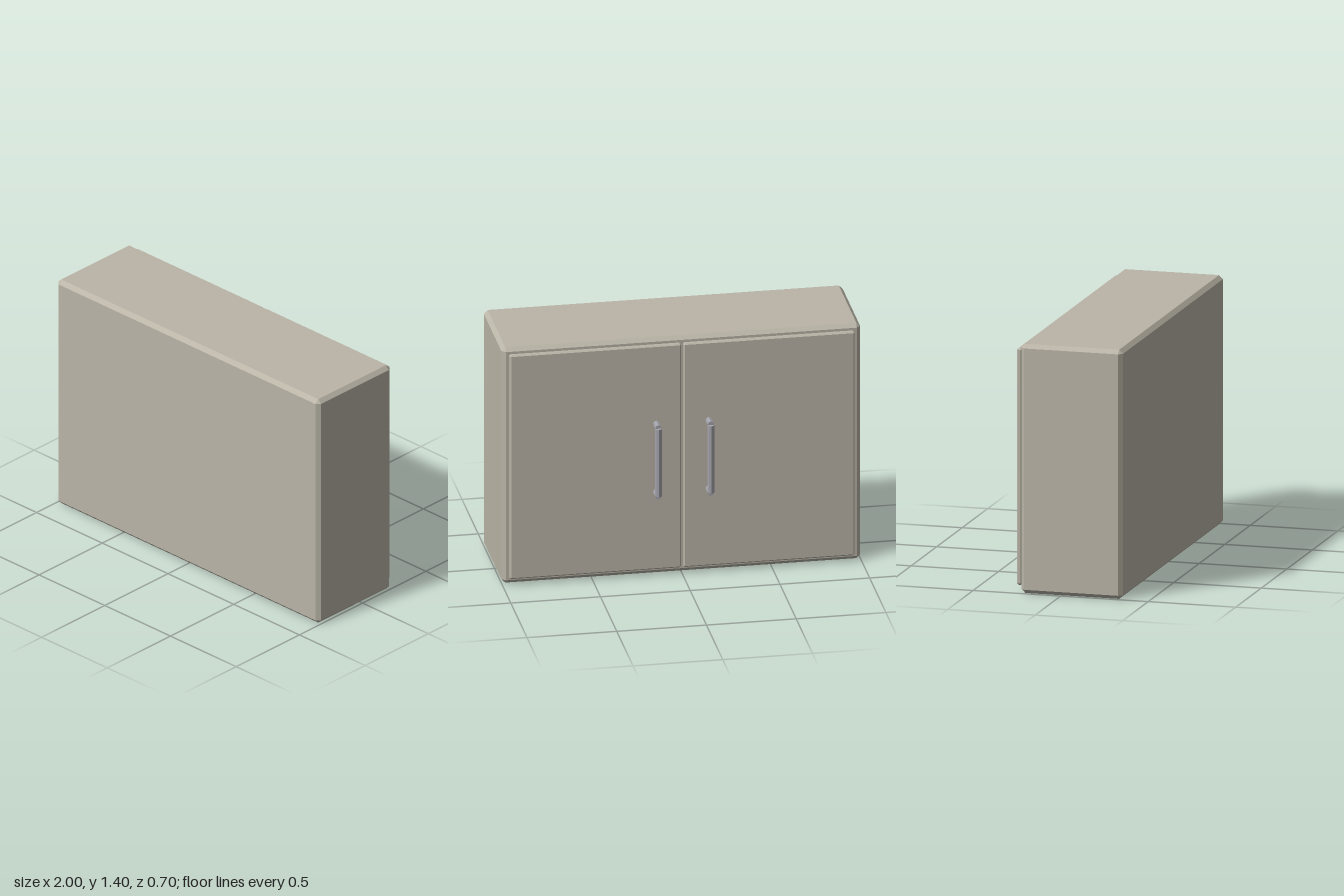
import * as THREE from 'three';
import { ConvexGeometry } from 'three/addons/geometries/ConvexGeometry.js';

// Box with every edge and corner cut by a flat chamfer c
function chamferBox(w, h, d, c) {
  const points = [];
  for (const sx of [-1, 1]) for (const sy of [-1, 1]) for (const sz of [-1, 1]) {
    const x = w / 2, y = h / 2, z = d / 2;
    points.push(
      new THREE.Vector3(sx * x, sy * (y - c), sz * (z - c)),
      new THREE.Vector3(sx * (x - c), sy * y, sz * (z - c)),
      new THREE.Vector3(sx * (x - c), sy * (y - c), sz * z));
  }
  return new ConvexGeometry(points);
}

export function createModel() {
  const paint = new THREE.MeshStandardMaterial({ color: 0xbab5a7 });
  paint.name = 'beige paint';
  const metal = new THREE.MeshStandardMaterial({ color: 0xa2a2aa, flatShading: true });
  metal.name = 'grey metal';

  const cabinet = new THREE.Group();
  cabinet.name = 'cabinet';
  const add = (parent, name, geometry, material, x, y, z) => {
    const mesh = new THREE.Mesh(geometry, material);
    mesh.name = name;
    mesh.position.set(x, y, z);
    parent.add(mesh);
    return mesh;
  };

  // Carcass
  add(cabinet, 'carcass', chamferBox(2, 1.4, 0.58, 0.022), paint, 0, 0.7, 0.06);

  // Two doors, each with a bar handle near the middle seam
  const door = chamferBox(0.955, 1.33, 0.03, 0.008);
  const bar = new THREE.CylinderGeometry(0.02, 0.02, 0.4, 8);
  const post = new THREE.CylinderGeometry(0.018, 0.018, 0.07, 8).rotateX(Math.PI / 2);
  for (const side of [1, -1]) {
    const label = side > 0 ? 'left' : 'right';
    add(cabinet, label + 'Door', door, paint, side * 0.484, 0.703, -0.247);

    const handle = new THREE.Group();
    handle.name = label + 'Handle';
    handle.position.set(side * 0.146, 0.7025, 0);
    add(handle, 'handleBar', bar, metal, 0, 0, -0.33);
    for (const y of [-0.2025, 0.2025]) add(handle, 'handlePost', post, metal, 0, y, -0.295);
    cabinet.add(handle);
  }
  return cabinet;
}
